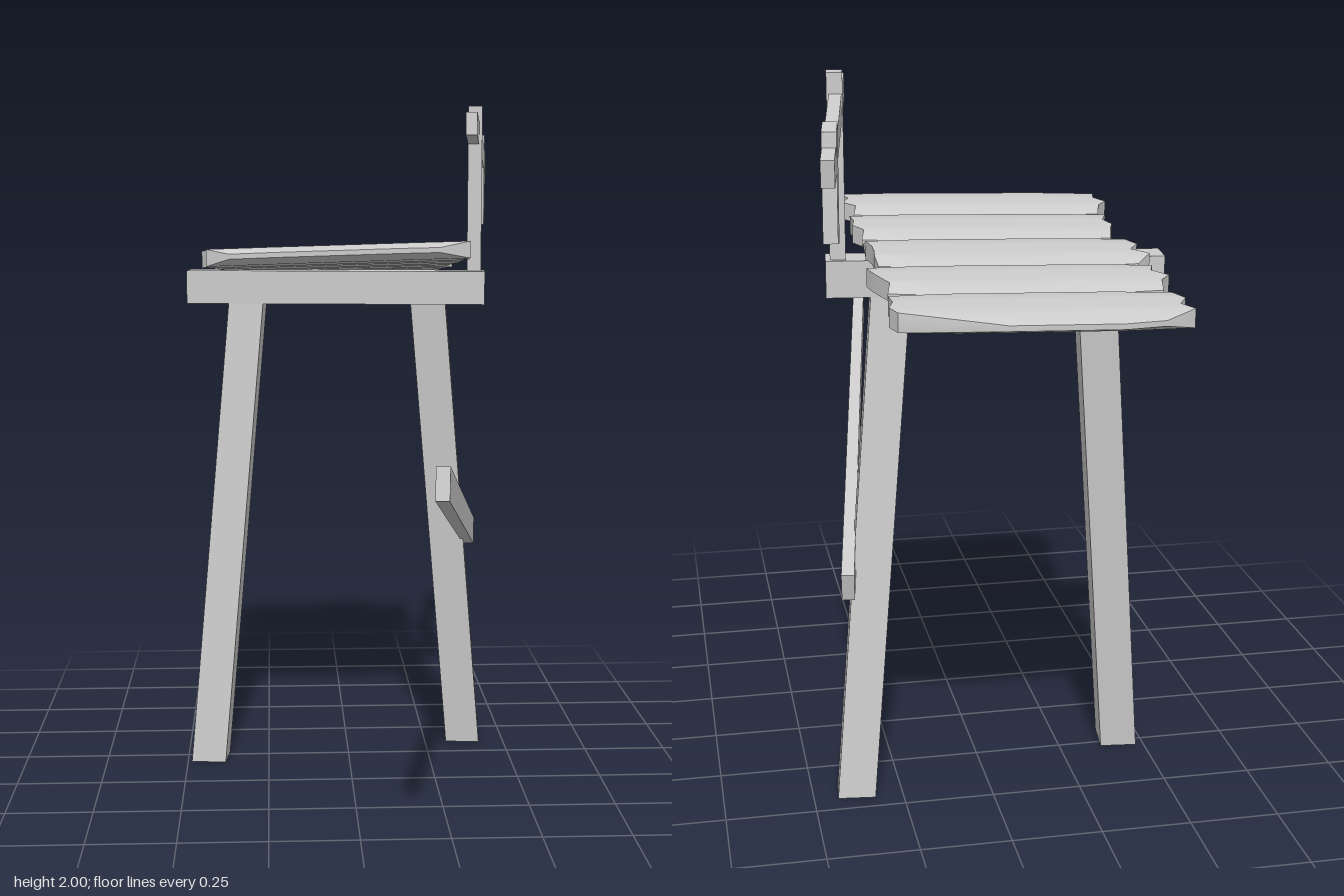
import * as THREE from 'three';
import { toCreasedNormals } from 'three/addons/utils/BufferGeometryUtils.js';

const material = new THREE.MeshStandardMaterial({ color: 0xcccccc });
const YAW = -0.11; // turn of the trestle

function part(name, geometry) {
  const mesh = new THREE.Mesh(geometry, material);
  mesh.name = name;
  return mesh;
}

// Straight bar of width w and height h between two points
function bar(name, from, to, w, h) {
  const a = new THREE.Vector3(...from), b = new THREE.Vector3(...to);
  const mesh = part(name, new THREE.BoxGeometry(w, h, a.distanceTo(b)));
  mesh.position.copy(a).add(b).multiplyScalar(0.5);
  mesh.lookAt(b);
  return mesh;
}

// Square post leaning from its foot to its top, with level ends
function leg(name, foot, top) {
  const height = 1.41;
  const geo = new THREE.BoxGeometry(0.105, height, 0.105);
  geo.translate(0, height / 2, 0).rotateY(YAW);
  const p = geo.attributes.position;
  for (let i = 0; i < p.count; i++) {
    const t = p.getY(i) / height;
    p.setX(i, p.getX(i) + THREE.MathUtils.lerp(foot[0], top[0], t));
    p.setZ(i, p.getZ(i) + THREE.MathUtils.lerp(foot[1], top[1], t));
  }
  geo.computeVertexNormals();
  return part(name, geo);
}

// Plank with thin long edges, tapered and ragged at both ends.
// endsA and endsB give the x of each end at the six columns from back to front.
function plank(name, zBack, zFront, endsA, endsB) {
  const along = [0, 0.22, 0.8, 1], inset = [0.018, -0.001, -0.001, 0.018];
  const across = [0, 0.18, 0.38, 0.6, 0.82, 1];
  const half = [0.007, 0.024, 0.024, 0.024, 0.024, 0.007];
  const rows = along.length, cols = across.length;
  const pos = [], index = [];
  for (const side of [1, -1]) {
    for (let i = 0; i < rows; i++) {
      for (let j = 0; j < cols; j++) {
        const x = THREE.MathUtils.lerp(endsA[j], endsB[j], along[i]);
        const z = THREE.MathUtils.lerp(zBack + inset[i], zFront - inset[i], across[j]);
        // the whole seat slopes down to the back and to one side
        const y = 1.58 + 0.083 * (z - 0.15) + 0.03 * x;
        pos.push(x, y + side * half[j], z);
      }
    }
  }
  const T = (i, j) => i * cols + j, B = (i, j) => rows * cols + T(i, j);
  const quad = (a, b, c, d) => index.push(a, b, c, a, c, d);
  const m = rows - 1, n = cols - 1;
  for (let i = 0; i < m; i++) {
    for (let j = 0; j < n; j++) {
      quad(T(i, j), T(i, j + 1), T(i + 1, j + 1), T(i + 1, j));
      quad(B(i, j), B(i + 1, j), B(i + 1, j + 1), B(i, j + 1));
    }
    quad(B(i, n), B(i + 1, n), T(i + 1, n), T(i, n));
    quad(B(i + 1, 0), B(i, 0), T(i, 0), T(i + 1, 0));
  }
  for (let j = 0; j < n; j++) {
    quad(B(0, j), B(0, j + 1), T(0, j + 1), T(0, j));
    quad(B(m, j + 1), B(m, j), T(m, j), T(m, j + 1));
  }
  const geo = new THREE.BufferGeometry();
  geo.setAttribute('position', new THREE.Float32BufferAttribute(pos, 3));
  geo.setIndex(index);
  return part(name, toCreasedNormals(geo, 0.6));
}

export function createModel() {
  const model = new THREE.Group();
  model.name = 'plankStand';

  // Trestle: cross beam and two legs leaning opposite ways
  const beam = part('crossBeam', new THREE.BoxGeometry(0.905, 0.1, 0.1));
  beam.position.set(-0.035, 1.46, -0.305);
  beam.rotation.y = YAW;
  model.add(beam);
  model.add(leg('rightLeg', [-0.43, -0.23], [-0.305, -0.34]));
  model.add(leg('leftLeg', [0.375, -0.395], [0.245, -0.27]));

  // Long slanting pole fixed to the outside of one leg
  model.add(bar('slantingPole', [0.4, 0.66, -0.498], [0.17, 1.067, 0.988], 0.035, 0.083));

  // Upright with its rail and the short hanging piece
  const post = part('railPost', new THREE.BoxGeometry(0.042, 0.5, 0.066));
  post.position.set(0.382, 1.75, -0.26);
  post.rotation.y = YAW;
  model.add(post);
  model.add(bar('rail', [0.47, 1.832, -0.858], [0.35, 1.943, -0.072], 0.033, 0.066));

  const profile = new THREE.Shape([
    [-0.785, 1.655], [-0.7, 1.64], [-0.675, 1.927], [-0.765, 1.915],
  ].map(([z, y]) => new THREE.Vector2(z + 0.73, y)));
  const hangerGeo = new THREE.ExtrudeGeometry(profile, { depth: 0.036, bevelEnabled: false });
  hangerGeo.translate(0, 0, -0.018).rotateY(-Math.PI / 2);
  const hanger = part('hangingPiece', hangerGeo);
  hanger.position.set(0.45, 0, -0.73);
  hanger.rotation.y = -0.15;
  model.add(hanger);

  // Seat of five rough planks, back to front
  const planks = [
    [-1.0, -0.77, [-0.31, -0.39, -0.365, -0.39, -0.37, -0.38], [0.17, 0.325, 0.34, 0.325, 0.33, 0.3]],
    [-0.77, -0.545, [-0.37, -0.375, -0.405, -0.37, -0.385, -0.36], [0.32, 0.31, 0.325, 0.34, 0.35, 0.3]],
    [-0.545, -0.305, [-0.37, -0.41, -0.37, -0.4, -0.38, -0.37], [0.31, 0.315, 0.31, 0.31, 0.32, 0.32]],
    [-0.305, -0.06, [-0.36, -0.37, -0.385, -0.37, -0.39, -0.37], [0.32, 0.31, 0.335, 0.325, 0.33, 0.31]],
    [-0.06, 0.17, [-0.39, -0.4, -0.43, -0.405, -0.415, -0.35], [0.31, 0.3, 0.335, 0.31, 0.33, 0.24]],
  ];
  planks.forEach((p, i) => model.add(plank(`seatPlank${i + 1}`, ...p)));

  return model;
}
